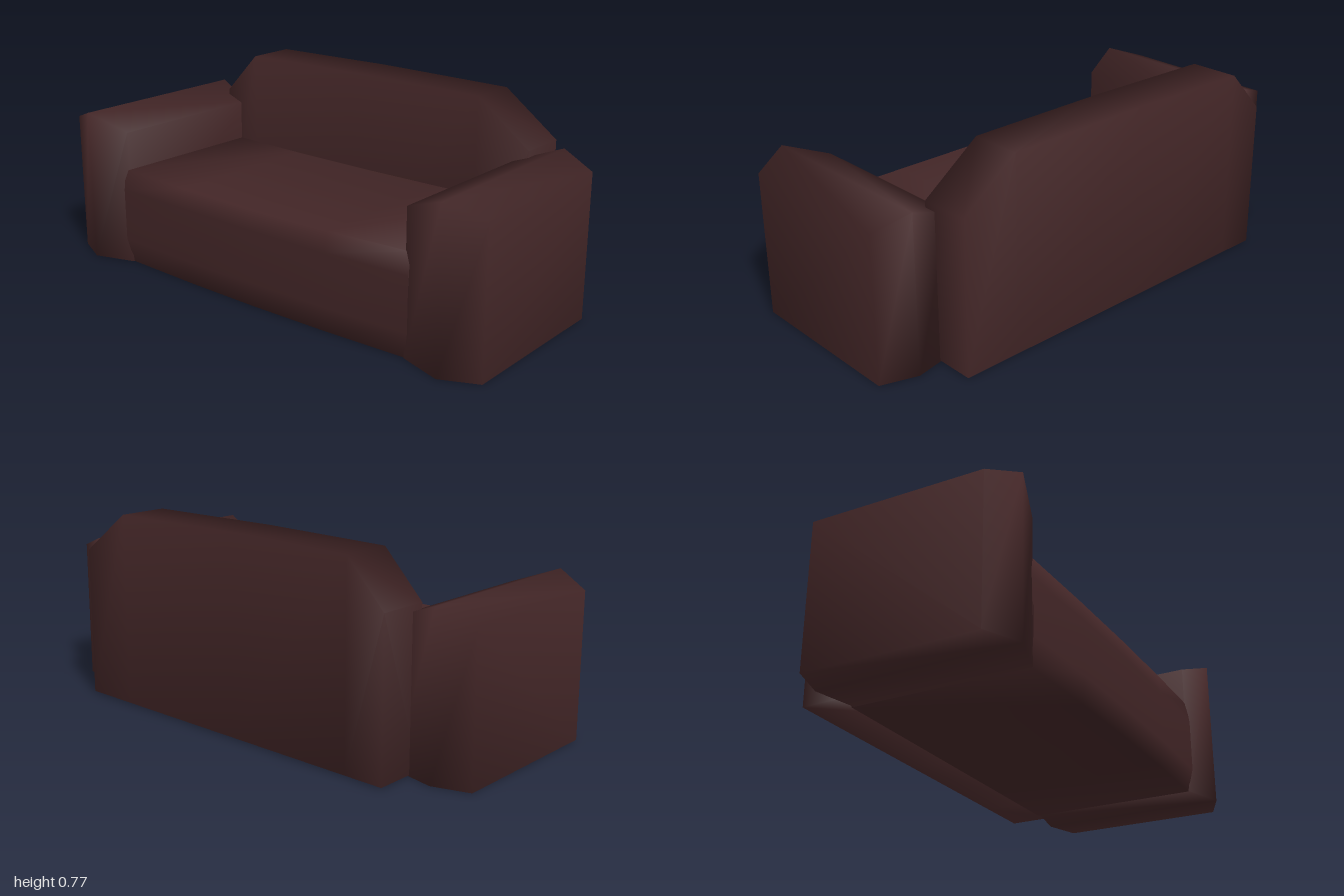
import * as THREE from 'three';

// Closed, smooth-shaded solid lofted along x. Each section is [x, ring];
// each ring lists [z, y] points, anticlockwise as seen from +x.
function loft(sections) {
  const n = sections[0][1].length;
  const last = (sections.length - 1) * n;
  const pos = [];
  const idx = [];
  for (const [x, ring] of sections) {
    for (const [z, y, dx = 0] of ring) pos.push(x + Math.sign(x) * dx, y, z);
  }
  for (let s = 0; s < last; s += n) {
    for (let i = 0; i < n; i++) {
      const a = s + i, b = s + (i + 1) % n;
      idx.push(a, b, a + n, b, b + n, a + n);
    }
  }
  for (let i = 1; i < n - 1; i++) {
    idx.push(0, i + 1, i, last, last + i, last + i + 1);
  }
  const g = new THREE.BufferGeometry();
  g.setAttribute('position', new THREE.Float32BufferAttribute(pos, 3));
  g.setIndex(idx);
  g.computeVertexNormals();
  return g;
}

const boxRing = (front, back, bottom, top) =>
  [[front, bottom], [back, bottom], [back, top], [front, top]];

export function createModel() {
  const sofa = new THREE.Group();
  sofa.name = 'sofa';
  const leather = new THREE.MeshStandardMaterial({ color: 0x432627 });
  leather.name = 'dark brown leather';

  const add = (name, sections) => {
    const mesh = new THREE.Mesh(loft(sections), leather);
    mesh.name = name;
    sofa.add(mesh);
  };

  // Armrests: swollen along the middle, mirrored left and right
  const arm = [
    [0.69, boxRing(0.4, -0.29, 0, 0.55)],
    [0.86, boxRing(0.455, -0.325, 0, 0.615)],
    [1, boxRing(0.39, -0.28, 0, 0.565)],
  ];
  add('leftArmrest', arm);
  add('rightArmrest', arm.map(([x, ring]) => [-x, ring]).reverse());

  // Backrest: sloping top corners
  const back = [[-0.76, 0.6], [-0.6, 0.768], [-0.06, 0.774], [0.53, 0.768], [0.755, 0.6]];
  add('backrest', back.map(([x, top]) => [x, boxRing(-0.255, -0.455, 0.005, top)]));

  // Seat: front bows forward, top sags slightly; third value shifts x outward
  const seat = [-0.71, -0.36, 0, 0.36, 0.71].map((x) => {
    const bow = 0.018 * (1 - (x / 0.71) ** 2);
    return [x, [
      [0.395 + bow, 0, -0.02], [-0.3, 0, -0.02], [-0.3, 0.39 - bow / 2],
      [0.4 + bow, 0.395 - bow / 2], [0.412 + bow, 0.31], [0.412 + bow, 0.1],
    ]];
  });
  add('seat', seat);

  return sofa;
}
